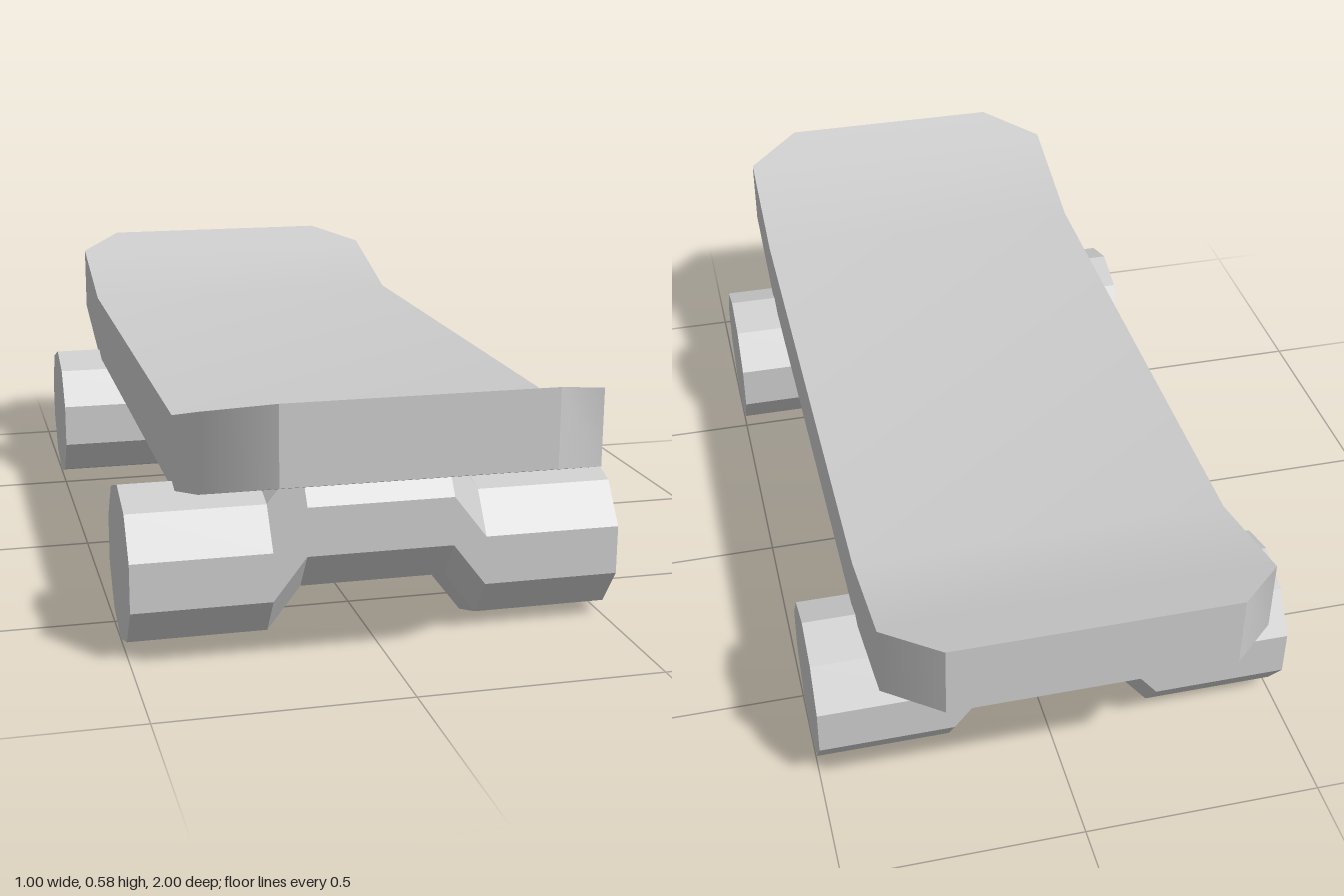
import * as THREE from 'three';

const grey = new THREE.MeshStandardMaterial({ color: 0xcccccc });
const flatGrey = new THREE.MeshStandardMaterial({ color: 0xcccccc, flatShading: true });

// Deck cross-sections, nose to tail: z, half width, top height
const SECTIONS = [
  [1, 0.262, 0.58], [0.9, 0.39, 0.547], [0.61, 0.39, 0.465],
  [-0.61, 0.39, 0.465], [-0.89, 0.39, 0.545], [-1, 0.285, 0.575],
];
const THICKNESS = 0.155;

// Ribbon through pairs of points, smooth along its length
function ribbon(name, pairs) {
  const geometry = new THREE.BufferGeometry();
  const index = [];
  for (let i = 0; i < pairs.length - 1; i++) {
    const a = i * 2;
    index.push(a, a + 1, a + 3, a, a + 3, a + 2);
  }
  geometry.setAttribute('position', new THREE.Float32BufferAttribute(pairs.flat(2), 3));
  geometry.setIndex(index);
  geometry.computeVertexNormals();
  const mesh = new THREE.Mesh(geometry, grey);
  mesh.name = name;
  return mesh;
}

// Board with kicked-up ends and clipped corners
function createDeck() {
  const deck = new THREE.Group();
  deck.name = 'deck';
  const rings = SECTIONS.map(([z, w, y]) => [
    [-w, y, z], [w, y, z], [w, y - THICKNESS, z], [-w, y - THICKNESS, z],
  ]);
  ['deckTop', 'deckLeftEdge', 'deckUnderside', 'deckRightEdge'].forEach((name, k) => {
    deck.add(ribbon(name, rings.map((r) => [r[k], r[(k + 1) % 4]])));
  });
  const nose = rings[0];
  const tail = rings[rings.length - 1];
  deck.add(ribbon('noseEnd', [[nose[3], nose[2]], [nose[0], nose[1]]]));
  deck.add(ribbon('tailEnd', [[tail[0], tail[1]], [tail[3], tail[2]]]));
  return deck;
}

// Wheel pair joined by a raised middle: a ten-sided bar with its rings shifted
function createTruck(name, z) {
  const RADIUS = 0.163;
  const ringX = [-0.5, -0.218, -0.15, 0.15, 0.218, 0.5];
  const ringLift = [0, 0, 0.088, 0.088, 0, 0];
  const geometry = new THREE.CylinderGeometry(RADIUS, RADIUS, 1, 10, 5, false, Math.PI / 2);
  geometry.rotateZ(-Math.PI / 2);
  const p = geometry.attributes.position;
  for (let i = 0; i < p.count; i++) {
    const ring = Math.round((p.getX(i) + 0.5) * 5);
    p.setXYZ(i, ringX[ring], p.getY(i) + ringLift[ring], p.getZ(i));
  }
  geometry.computeVertexNormals();
  const truck = new THREE.Mesh(geometry, flatGrey);
  truck.name = name;
  truck.position.set(0, RADIUS, z);
  return truck;
}

export function createModel() {
  const model = new THREE.Group();
  model.name = 'skateboard';
  model.add(createDeck());
  model.add(createTruck('frontWheels', 0.595));
  model.add(createTruck('backWheels', -0.61));
  return model;
}
